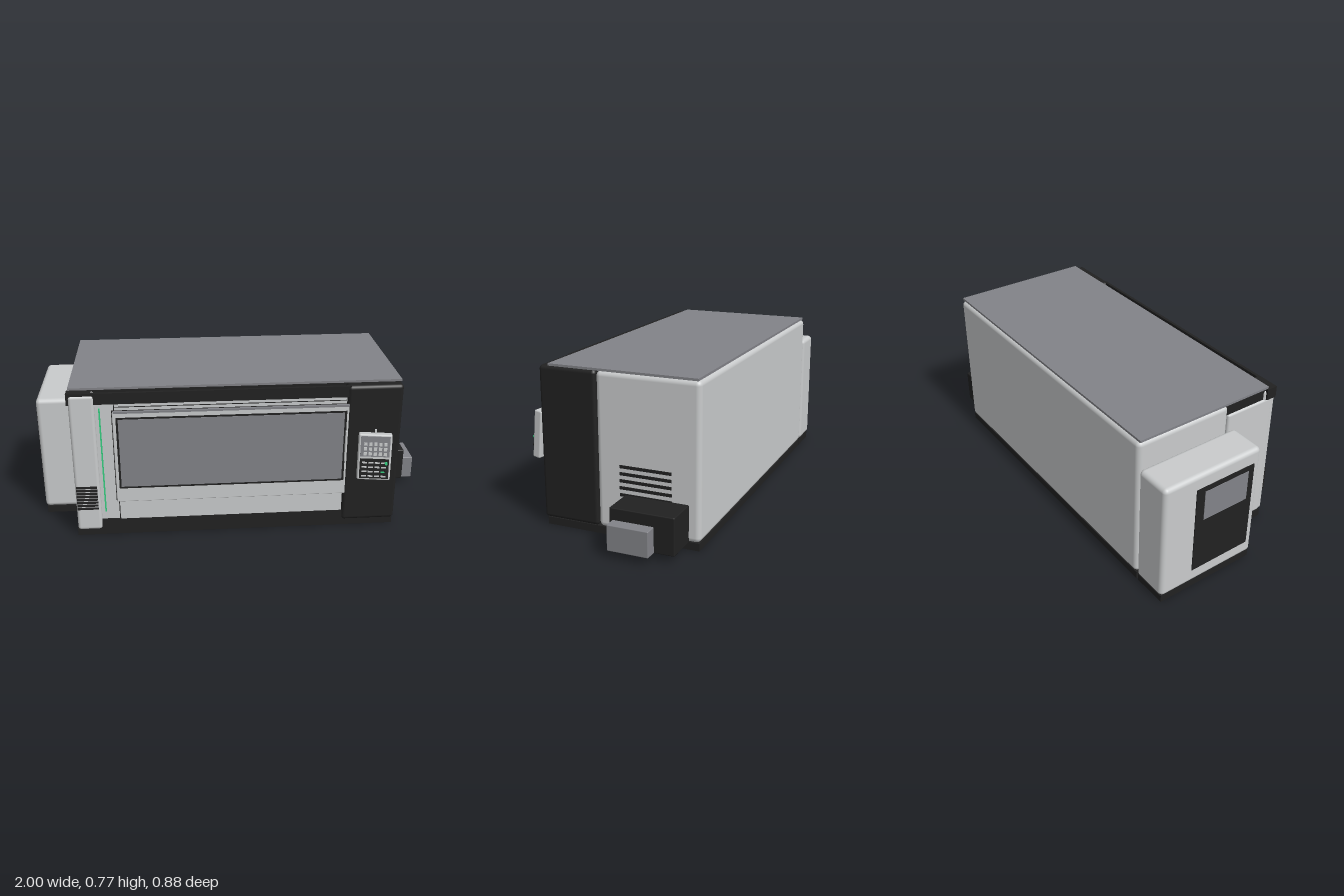
import * as THREE from 'three';
import { RoundedBoxGeometry } from 'three/addons/geometries/RoundedBoxGeometry.js';

const mat = (name, color) => {
  const m = new THREE.MeshStandardMaterial({ color });
  m.name = name;
  return m;
};

export function createModel() {
  const light = mat('light grey paint', 0xc9cbcc);
  const dark = mat('black paint', 0x212121);
  const grey = mat('mid grey', 0x828388);
  const green = mat('status green', 0x35cf80);

  const model = new THREE.Group();
  model.name = 'machineTool';

  // Box given by its min and max on each axis; r rounds the edges
  function box(name, material, [x0, x1], [y0, y1], [z0, z1], r = 0, parent = model) {
    const s = [x1 - x0, y1 - y0, z1 - z0];
    const geo = r ? new RoundedBoxGeometry(...s, 3, r) : new THREE.BoxGeometry(...s);
    const mesh = new THREE.Mesh(geo, material);
    mesh.position.set((x0 + x1) / 2, (y0 + y1) / 2, (z0 + z1) / 2);
    mesh.name = name;
    parent.add(mesh);
    return mesh;
  }

  // Bases, rear housing and roof
  box('base', dark, [-0.81, 0.78], [0, 0.036], [-0.433, 0.327]);
  box('sideCabinetBase', dark, [-0.988, -0.82], [0, 0.036], [-0.433, 0.083]);
  box('rearHousing', light, [-0.81, 0.785], [0.035, 0.762], [-0.438, 0.058], 0.024);
  box('roofPanel', grey, [-0.808, 0.785], [0.762, 0.773], [-0.427, 0.293]);

  // Front section: recessed face, dark pillar, bars and left column
  box('frontFace', light, [-0.7, 0.53], [0.06, 0.705], [0.05, 0.325]);
  box('rightPillar', dark, [0.515, 0.785], [0.035, 0.762], [0.058, 0.343], 0.018);
  box('topBar', dark, [-0.812, 0.53], [0.705, 0.761], [0.324, 0.338]);
  box('topBarEnd', dark, [-0.814, -0.7], [0.705, 0.761], [0.285, 0.339]);
  box('innerRoof', dark, [-0.8, 0.52], [0.705, 0.758], [0.05, 0.285]);
  box('bottomBar', dark, [-0.7, 0.53], [0.035, 0.088], [0.06, 0.335]);
  box('leftSide', light, [-0.808, -0.7], [0.037, 0.706], [0.06, 0.325], 0.012);
  box('leftColumn', light, [-0.806, -0.685], [0.037, 0.752], [0.27, 0.345], 0.016);
  for (let i = 0; i < 8; i++) {
    const y = 0.155 + i * 0.0165;
    box('columnVent', dark, [-0.8, -0.698], [y, y + 0.009], [0.342, 0.352]);
  }

  // Status light strip and door surround
  box('statusLight', green, [-0.668, -0.661], [0.13, 0.68], [0.322, 0.33]);
  box('surroundSeam', dark, [-0.598, -0.594], [0.088, 0.705], [0.322, 0.328]);
  box('lowerPanel', light, [-0.592, 0.513], [0.09, 0.2], [0.32, 0.336]);
  box('upperSeam', dark, [-0.594, 0.513], [0.684, 0.687], [0.322, 0.328]);

  // Sliding door with window
  box('doorShadowGap', dark, [-0.607, 0.522], [0.202, 0.677], [0.345, 0.355]);
  box('door', light, [-0.603, 0.518], [0.205, 0.674], [0.353, 0.372], 0.004);
  box('windowFrame', dark, [-0.587, 0.507], [0.28, 0.65], [0.37, 0.376]);
  box('window', grey, [-0.577, 0.496], [0.29, 0.642], [0.373, 0.378]);
  box('doorRail', grey, [-0.597, 0.515], [0.675, 0.685], [0.372, 0.384]);
  box('doorHandle', light, [0.503, 0.511], [0.39, 0.55], [0.376, 0.39], 0.003);

  // Tilted control panel on a short arm
  const arm = new THREE.Mesh(new THREE.CylinderGeometry(0.009, 0.009, 0.06, 16), light);
  arm.name = 'panelArm';
  arm.rotation.x = Math.PI / 2;
  arm.position.set(0.65, 0.43, 0.36);
  model.add(arm);

  const panel = new THREE.Group();
  panel.name = 'controlPanel';
  panel.position.set(0.65, 0.413, 0.39);
  panel.rotation.set(-0.1, -0.17, 0, 'YXZ');
  model.add(panel);
  const on = (name, m, x, y, z, r) => box(name, m, x, y, z, r, panel);
  on('panelCase', light, [-0.08, 0.08], [-0.117, 0.117], [-0.021, 0.021], 0.008);
  on('keypadPlate', grey, [-0.07, 0.07], [0.005, 0.108], [0.019, 0.024]);
  on('lowerPlate', dark, [-0.07, 0.07], [-0.107, -0.006], [0.019, 0.024]);
  for (let r = 0; r < 3; r++) {
    for (let c = 0; c < 5; c++) {
      const x = -0.054 + c * 0.024, y = 0.012 + r * 0.025;
      on('key', light, [x, x + 0.015], [y, y + 0.016], [0.022, 0.028]);
    }
  }
  for (let r = 0; r < 4; r++) {
    for (let c = 0; c < 4; c++) {
      const x = -0.06 + c * 0.031, y = -0.098 + r * 0.023;
      on('smallKey', c === 3 && r === 1 ? green : light, [x, x + 0.024], [y, y + 0.007], [0.022, 0.027]);
    }
  }
  for (const [y, m] of [[-0.065, dark], [-0.025, green]]) {
    const knob = new THREE.Mesh(new THREE.CylinderGeometry(0.007, 0.007, 0.016, 16), m);
    knob.name = 'knob';
    knob.rotation.x = Math.PI / 2;
    knob.position.set(0.056, y, 0.03);
    panel.add(knob);
  }
  on('panelBracket', light, [-0.005, 0.005], [0.115, 0.137], [-0.004, 0.004]);

  // Right side louvres and chip discharge box
  for (let i = 0; i < 6; i++) {
    const y = 0.168 + i * 0.033;
    box('sideVent', dark, [0.78, 0.789], [y, y + 0.014], [-0.305, -0.055]);
  }
  box('dischargeBox', dark, [0.78, 0.94], [0.035, 0.21], [-0.385, -0.08], 0.005);
  box('dischargeChute', grey, [0.935, 0.997], [0.035, 0.155], [-0.29, -0.095], 0.004);

  // Left side cabinet with display plate
  box('sideCabinet', light, [-0.996, -0.816], [0.037, 0.637], [-0.44, 0.09], 0.022);
  box('cabinetPlate', dark, [-1, -0.993], [0.11, 0.565], [-0.27, 0.052]);
  box('cabinetDisplay', grey, [-1.002, -0.997], [0.385, 0.54], [-0.225, 0.02]);

  return model;
}
